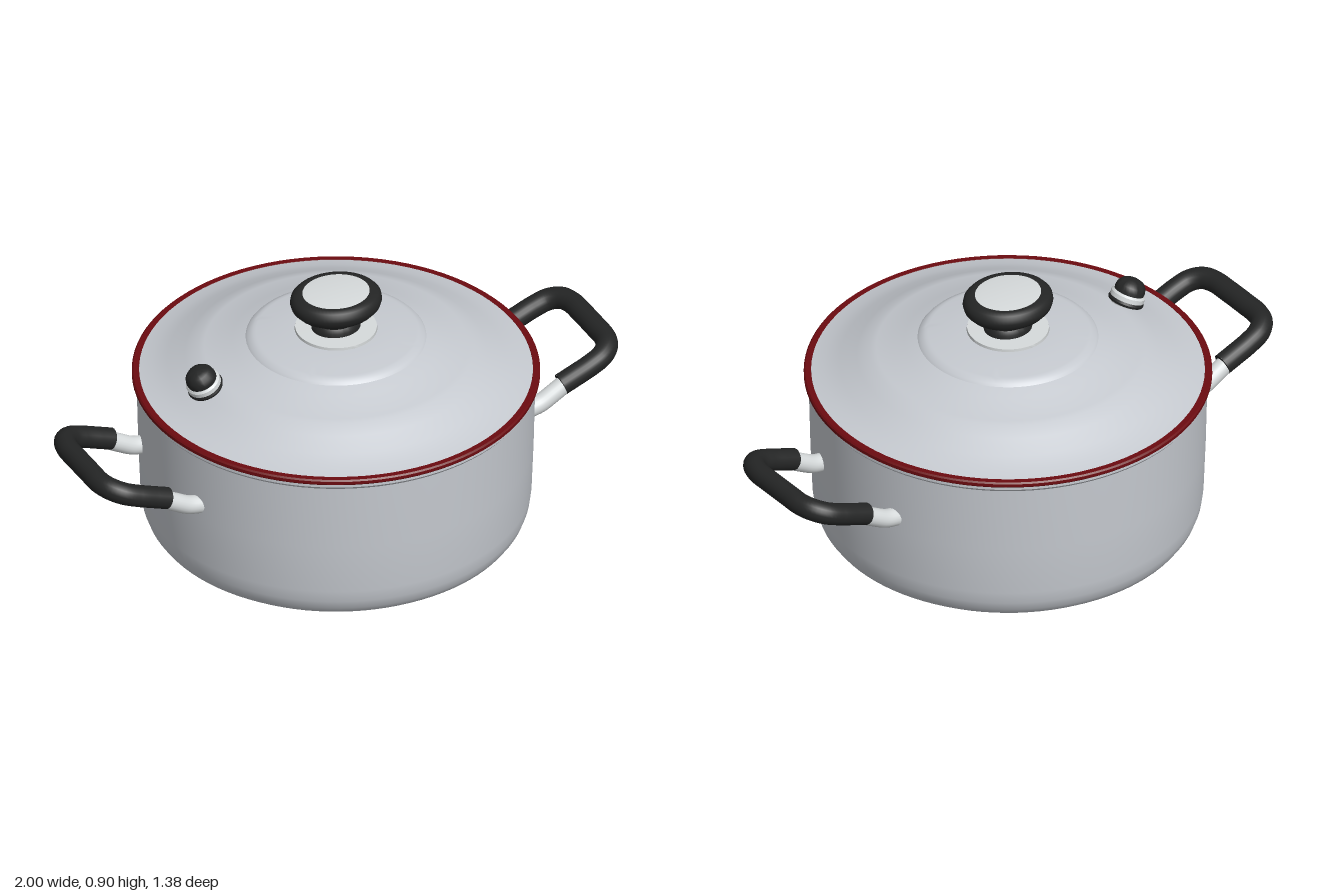
import * as THREE from 'three';
import { toCreasedNormals } from 'three/addons/utils/BufferGeometryUtils.js';

const mat = (name, color) => {
  const m = new THREE.MeshStandardMaterial({ color });
  m.name = name;
  return m;
};

export function createModel() {
  const steel = mat('brushed steel', 0xc6cad0);
  const polished = mat('polished steel', 0xd6dadb);
  const black = mat('black plastic', 0x242525);
  const red = mat('dark red', 0x6c0b10);

  const model = new THREE.Group();
  model.name = 'cookingPot';

  const add = (parent, name, geometry, material) => {
    const mesh = new THREE.Mesh(geometry, material);
    mesh.name = name;
    parent.add(mesh);
    return mesh;
  };
  // Turned part from [radius, height] pairs, listed so that the outside runs upward
  const turn = (points, segments = 64, crease = 0.6) => toCreasedNormals(
    new THREE.LatheGeometry(points.map(([r, y]) => new THREE.Vector2(r, y)), segments), crease);
  const group = (parent, name) => {
    const g = new THREE.Group();
    g.name = name;
    parent.add(g);
    return g;
  };

  // Pot: base, rounded corner, slightly flared wall, lip and inner wall
  add(model, 'potBody', turn([
    [0, 0], [0.6, 0], [0.605, 0.008], [0.625, 0.018], [0.642, 0.042], [0.654, 0.075],
    [0.66, 0.12], [0.667, 0.3], [0.673, 0.545], [0.682, 0.556], [0.682, 0.57],
    [0.655, 0.57], [0.645, 0.12], [0.6, 0.03], [0, 0.03],
  ], 96), steel);

  // Lid: red edge band and stepped dome
  const lid = group(model, 'lid');
  add(lid, 'lidEdge', turn([
    [0.655, 0.568], [0.684, 0.567], [0.689, 0.572], [0.689, 0.583], [0.684, 0.588],
    [0.665, 0.588], [0.655, 0.568],
  ], 96), red);
  add(lid, 'lidDome', turn([
    [0.668, 0.578], [0.664, 0.587], [0.62, 0.597], [0.57, 0.618], [0.51, 0.649], [0.465, 0.672],
    [0.445, 0.677], [0.4, 0.687], [0.35, 0.705], [0.305, 0.719], [0.298, 0.727],
    [0.28, 0.736], [0.27, 0.737], [0.22, 0.745], [0.14, 0.751], [0, 0.752],
  ], 96, 0.5), steel);

  // Knob: washer, oval waisted grip and metal top insert
  const knob = group(lid, 'knob');
  add(knob, 'knobWasher', turn([
    [0, 0.745], [0.138, 0.745], [0.14, 0.75], [0.138, 0.76], [0, 0.762],
  ]), polished);
  const oval = group(knob, 'ovalKnob');
  oval.scale.z = 0.89;
  add(oval, 'knobGrip', turn([
    [0.085, 0.757], [0.086, 0.775], [0.075, 0.788], [0.08, 0.8], [0.108, 0.813], [0.138, 0.83],
    [0.154, 0.847], [0.159, 0.864], [0.156, 0.88], [0.146, 0.891], [0.128, 0.898],
    [0.116, 0.897], [0, 0.894],
  ], 64, 0.9), black);
  add(oval, 'knobInsert', turn([
    [0.118, 0.893], [0.116, 0.898], [0.09, 0.901], [0, 0.902],
  ]), polished);

  // Steam valve standing square to the sloping lid
  const valve = group(lid, 'steamValve');
  valve.position.set(-0.488, 0.648, 0);
  valve.rotation.z = 0.43;
  add(valve, 'valveFoot', turn([
    [0.045, -0.03], [0.05, 0], [0.056, 0.016], [0, 0.016],
  ], 32), polished);
  add(valve, 'valveSeal', turn([
    [0, 0.012], [0.06, 0.014], [0.063, 0.022], [0.06, 0.03], [0, 0.03],
  ], 32), black);
  add(valve, 'valveBand', turn([
    [0, 0.028], [0.06, 0.029], [0.06, 0.046], [0.054, 0.053], [0, 0.053],
  ], 32), polished);
  add(valve, 'valveCap', turn([
    [0.052, 0.05], [0.053, 0.064], [0.049, 0.08], [0.038, 0.093], [0.022, 0.1], [0, 0.102],
  ], 32, 0.9), black);

  // Side handles: two steel stubs joined by a bent black grip
  const half = [
    [0.75, 0.413, 0.205], [0.8, 0.432, 0.205], [0.86, 0.455, 0.204], [0.91, 0.474, 0.195],
    [0.944, 0.486, 0.166], [0.96, 0.489, 0.12], [0.962, 0.49, 0.05],
  ];
  const path = [...half, ...half.map(([x, y, z]) => [x, y, -z]).reverse()];
  const grip = new THREE.CatmullRomCurve3(path.map((p) => new THREE.Vector3(...p)));
  const gripGeometry = new THREE.TubeGeometry(grip, 72, 0.038, 20);
  const capGeometry = new THREE.CircleGeometry(0.038, 20);

  ['left', 'right'].forEach((side, i) => {
    const handle = group(model, side + 'Handle');
    handle.rotation.y = i * Math.PI;
    add(handle, 'handleGrip', gripGeometry, black);
    [1, -1].forEach((s) => {
      const stub = new THREE.CatmullRomCurve3([
        [0.625, 0.352], [0.67, 0.362], [0.72, 0.388], [0.79, 0.428],
      ].map(([x, y]) => new THREE.Vector3(x, y, s * 0.205)));
      add(handle, 'handleStub', new THREE.TubeGeometry(stub, 16, 0.032, 20), polished);
      const cap = add(handle, 'gripEnd', capGeometry, black);
      const t = s > 0 ? 0 : 1;
      const outward = grip.getTangent(t).multiplyScalar(-s);
      cap.position.copy(grip.getPoint(t));
      cap.quaternion.setFromUnitVectors(new THREE.Vector3(0, 0, 1), outward);
    });
  });

  return model;
}
